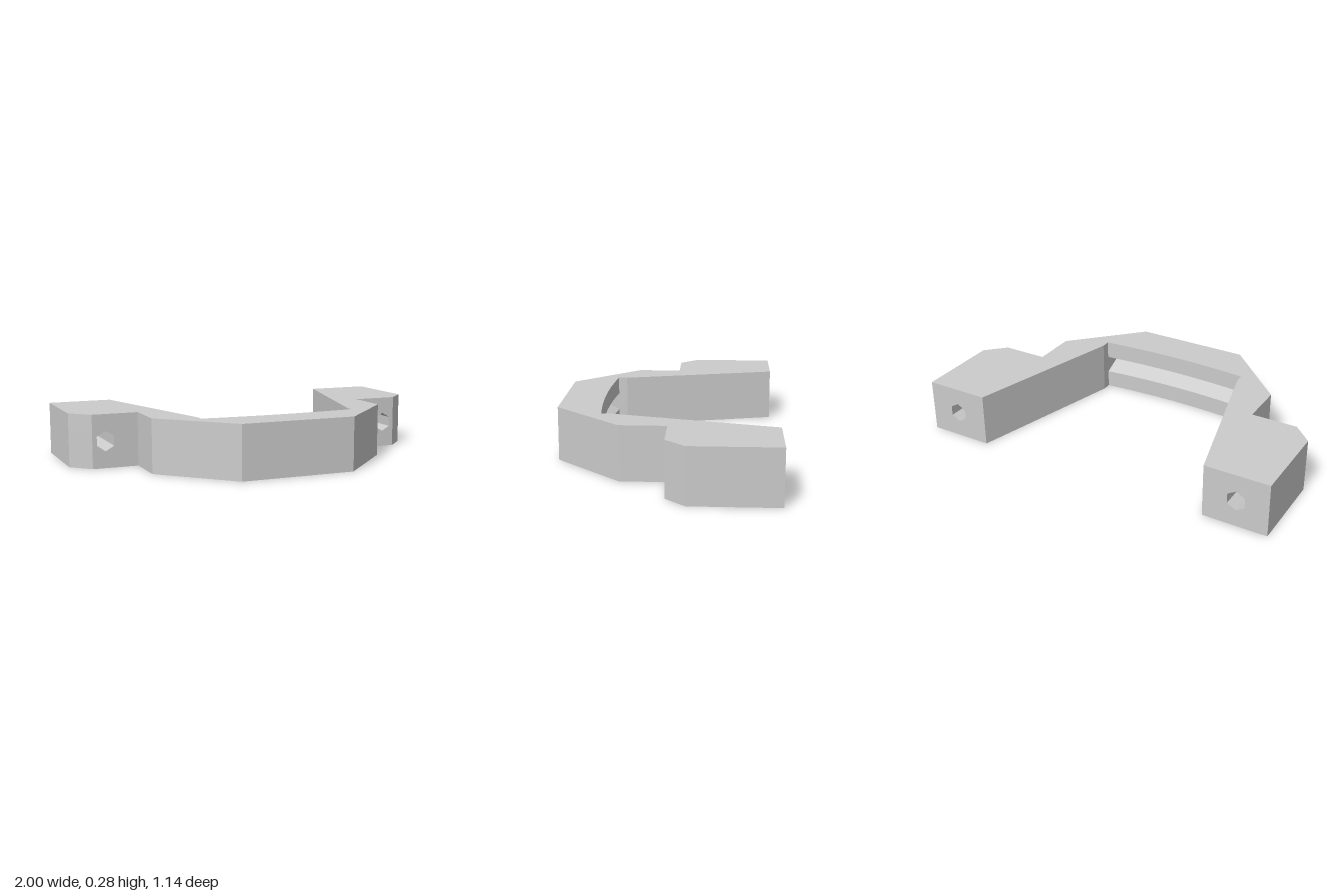
import * as THREE from 'three';

const H = 0.285, HOLE_X = 0.83, HOLE_R = 0.053, BACK = -0.57, EAR_FRONT = -0.02;
const DEPTH = 0.1; // groove depth
const ARC = 16;

// Plan outline (x, z), with the inner front wall pushed forward by d
function outline(d) {
  const half = [[0.31, 0.57], [0.655, 0.22], [0.655, EAR_FRONT], [0.9, EAR_FRONT], [1, -0.12],
    [1, BACK], [0.655, BACK], [0.43, 0.28], [0.43, 0.328]];
  const arc = [];
  for (let i = 0; i <= ARC; i++) {
    const x = 0.43 - 0.86 * i / ARC;
    arc.push([x, 0.35 - 0.022 * (x / 0.43) ** 2 + d]);
  }
  return [...half, ...arc, ...half.map(([x, z]) => [-x, z]).reverse()];
}

// Side walls from stacked outlines; the middle one cuts the V-groove
function wallGeometry() {
  const levels = [[0, 0], [H / 3, 0], [H / 2, DEPTH], [2 * H / 3, 0], [H, 0]];
  const pos = [];
  const tri = (a, b, c) => {
    const n = b.clone().sub(a).cross(c.clone().sub(a));
    if (n.length() > 1e-7) for (const p of [a, b, c]) pos.push(p.x, p.y, p.z);
  };
  for (let l = 0; l < levels.length - 1; l++) {
    const [y0, d0] = levels[l], [y1, d1] = levels[l + 1];
    const lo = outline(d0), hi = outline(d1);
    lo.forEach((p, i) => {
      const j = (i + 1) % lo.length;
      // drilled ear faces are made separately
      if (p[1] === lo[j][1] && (p[1] === BACK || p[1] === EAR_FRONT)) return;
      const a = new THREE.Vector3(p[0], y0, p[1]), b = new THREE.Vector3(lo[j][0], y0, lo[j][1]);
      const c = new THREE.Vector3(hi[j][0], y1, hi[j][1]), e = new THREE.Vector3(hi[i][0], y1, hi[i][1]);
      tri(a, b, c);
      tri(a, c, e);
    });
  }
  const g = new THREE.BufferGeometry();
  g.setAttribute('position', new THREE.Float32BufferAttribute(pos, 3));
  g.computeVertexNormals();
  return g;
}

// Flat top or bottom face
function capGeometry(top) {
  const s = top ? -1 : 1;
  const pts = outline(0).filter(([x, z], i, a) => {
    const q = a[(i + 1) % a.length];
    return Math.hypot(q[0] - x, q[1] - z) > 1e-6;
  });
  const g = new THREE.ShapeGeometry(new THREE.Shape(pts.map(([x, z]) => new THREE.Vector2(x, s * z))));
  g.rotateX(s * Math.PI / 2);
  if (top) g.translate(0, H, 0);
  return g;
}

// Ear face between x0 and x1 with a hexagonal hole
function earFace(x0, x1, cx) {
  const shape = new THREE.Shape([[x0, 0], [x1, 0], [x1, H], [x0, H]].map(p => new THREE.Vector2(...p)));
  const hex = [];
  for (let i = 0; i < 6; i++) {
    const t = Math.PI / 2 - i * Math.PI / 3;
    hex.push(new THREE.Vector2(cx + HOLE_R * Math.cos(t), H / 2 + HOLE_R * Math.sin(t)));
  }
  shape.holes.push(new THREE.Path(hex));
  return new THREE.ShapeGeometry(shape);
}

export function createModel() {
  const group = new THREE.Group();
  group.name = 'mountingBracket';
  const mat = new THREE.MeshStandardMaterial({ color: 0xcccccc, flatShading: true, side: THREE.DoubleSide });
  const add = (name, geo) => {
    const m = new THREE.Mesh(geo, mat);
    m.name = name;
    group.add(m);
    return m;
  };

  add('bodyWalls', wallGeometry());
  add('topFace', capGeometry(true));
  add('bottomFace', capGeometry(false));

  for (const s of [1, -1]) {
    const side = s > 0 ? 'left' : 'right';
    const span = (a, b) => (s > 0 ? [a, b] : [-b, -a]);
    add(side + 'EarFront', earFace(...span(0.655, 0.9), s * HOLE_X).translate(0, 0, EAR_FRONT));
    // back face is turned round to look towards -z
    const [b0, b1] = span(0.655, 1);
    add(side + 'EarBack', earFace(-b1, -b0, -s * HOLE_X).rotateY(Math.PI).translate(0, 0, BACK));
    // hexagonal bolt hole
    const bore = new THREE.CylinderGeometry(HOLE_R, HOLE_R, EAR_FRONT - BACK, 6, 1, true);
    bore.rotateX(Math.PI / 2).translate(s * HOLE_X, H / 2, (EAR_FRONT + BACK) / 2);
    add(side + 'BoltHole', bore);
  }
  return group;
}
